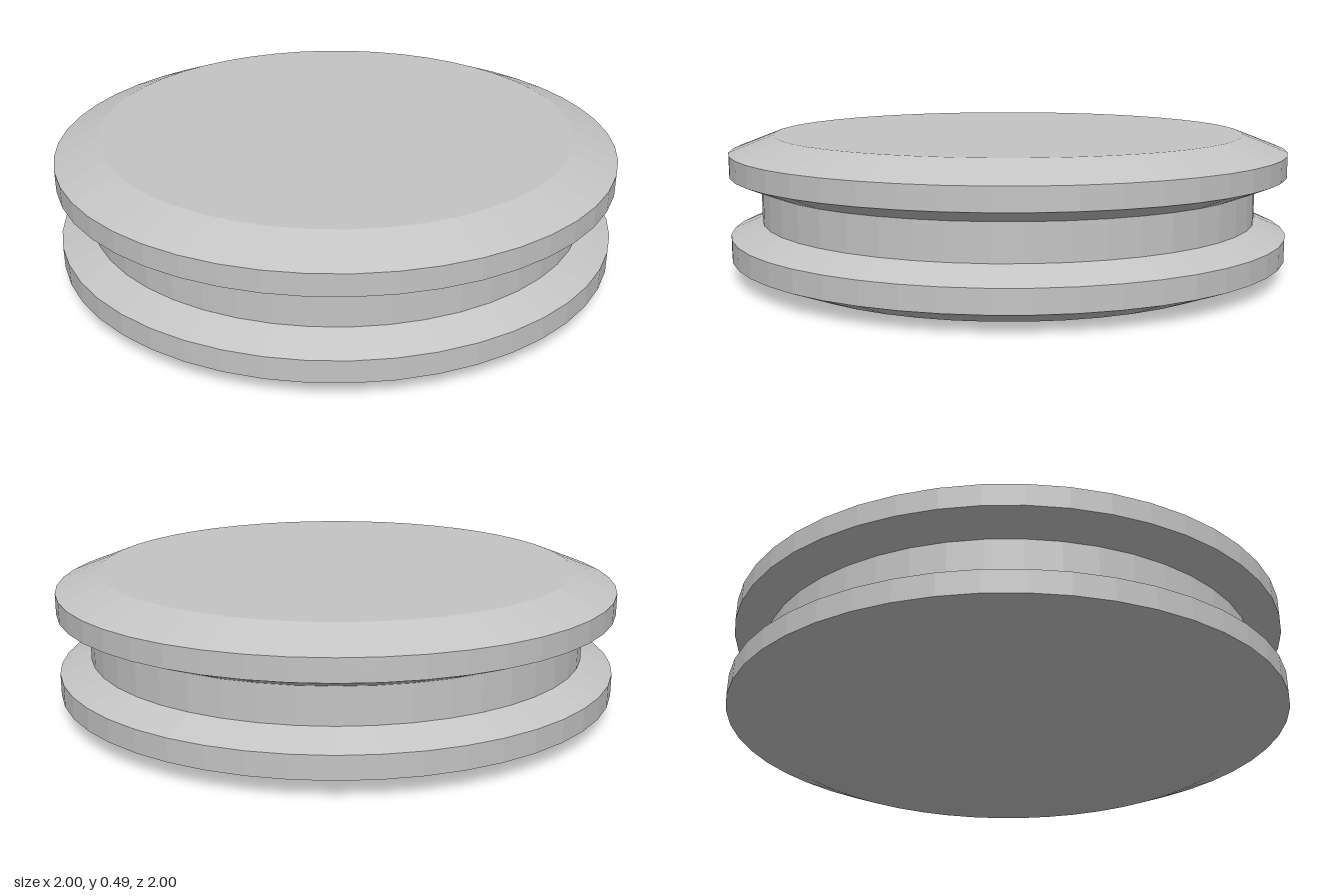
import * as THREE from 'three';

const SIDES = 48;

export function createModel() {
  const group = new THREE.Group();
  group.name = 'groovedWheel';
  const grey = new THREE.MeshStandardMaterial({ color: 0xc4c4c4, flatShading: true });
  grey.name = 'light grey';

  // One turned profile, from the bottom centre to the top centre
  const profile = [
    [0, 0], [0.845, 0],          // bottom face
    [1, 0.062], [1, 0.14],       // lower rim
    [0.89, 0.186], [0.89, 0.31], // groove
    [1, 0.355], [1, 0.43],       // upper rim
    [0.845, 0.49], [0, 0.49],    // top face
  ].map(([r, y]) => new THREE.Vector2(r, y));

  const disc = new THREE.Mesh(new THREE.LatheGeometry(profile, SIDES), grey);
  disc.name = 'groovedDisc';
  group.add(disc);
  return group;
}
